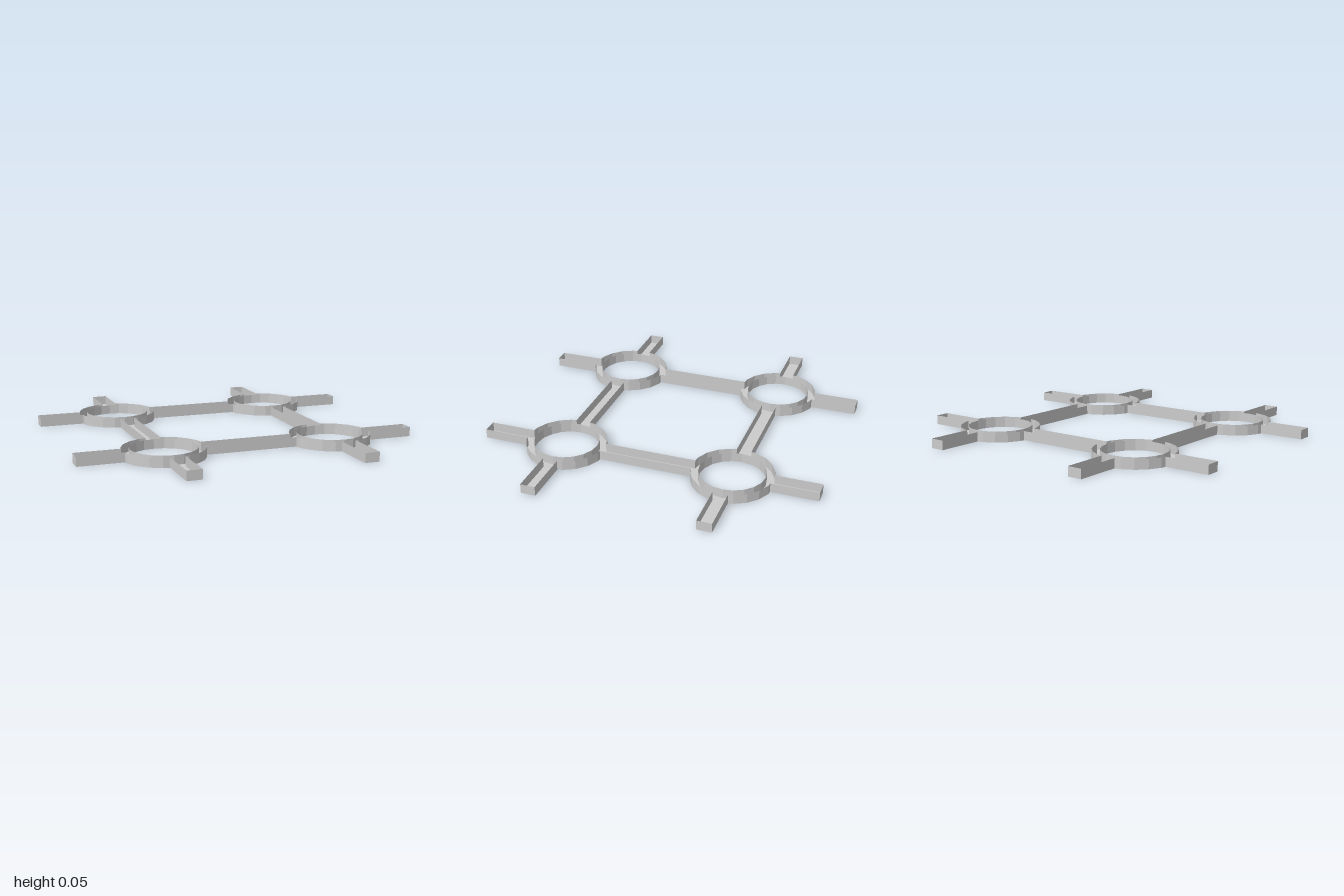
import * as THREE from 'three';

const H = 0.055;        // tray height
const HALF = 0.043;     // half width of an arm
const R_OUT = 0.235, R_IN = 0.19, SIDES = 20;
const DX = -0.006;      // rings sit slightly off the arm crossing
const STEP = (2 * Math.PI) / SIDES;

const ringPoint = (r, i) =>
  new THREE.Vector2(DX + r * Math.cos(i * STEP), r * Math.sin(i * STEP));

// Where an arm's side meets the ring: distance along the arm at a sideways offset
const SLOPE = (1 - Math.cos(STEP)) / Math.sin(STEP);
const reach = (offset) => R_OUT - SLOPE * Math.abs(offset);

// Outline of one ring with four arms, counter-clockwise
function crossOutline() {
  const v = (x, y) => new THREE.Vector2(x, y);
  const pts = [];
  for (let q = 0; q < 4; q++) {
    const [dx, dy] = [[1, 0], [0, 1], [-1, 0], [0, -1]][q];
    for (const [side, order] of [[-1, 0], [1, 1]]) {
      const sx = -dy * side * HALF, sy = dx * side * HALF;
      const along = dx ? reach(HALF) : reach(sx - DX);
      const joint = v(dx * along + (dx ? DX : 0) + sx, dy * along + sy);
      const tip = v(dx * 0.5 + sx, dy * 0.5 + sy);
      pts.push(...(order ? [tip, joint] : [joint, tip]));
    }
    for (let i = 1; i < SIDES / 4; i++) pts.push(ringPoint(R_OUT, q * SIDES / 4 + i));
  }
  return pts;
}

// Thin upright walls along a closed outline, leaving out the edges where skip is true
function wallGeometry(pts, skip = () => false) {
  const pos = [];
  pts.forEach((a, i) => {
    const b = pts[(i + 1) % pts.length];
    if (skip(a, b)) return;
    pos.push(a.x, 0, a.y, a.x, H, a.y, b.x, H, b.y);
    pos.push(a.x, 0, a.y, b.x, H, b.y, b.x, 0, b.y);
  });
  const geo = new THREE.BufferGeometry();
  geo.setAttribute('position', new THREE.Float32BufferAttribute(pos, 3));
  geo.computeVertexNormals();
  return geo;
}

export function createModel() {
  const model = new THREE.Group();
  model.name = 'openTrayLattice';
  const material = new THREE.MeshStandardMaterial({
    color: 0xcccccc, flatShading: true, side: THREE.DoubleSide,
  });

  const outline = crossOutline();
  const hole = Array.from({ length: SIDES }, (_, i) => ringPoint(R_IN, -i));
  const shape = new THREE.Shape(outline);
  shape.holes.push(new THREE.Path(hole));
  const floorGeo = new THREE.ShapeGeometry(shape).rotateX(Math.PI / 2);
  const innerGeo = wallGeometry(hole);

  for (const sx of [-1, 1]) for (const sz of [-1, 1]) {
    const unit = new THREE.Group();
    unit.name = `${sz > 0 ? 'front' : 'back'}${sx > 0 ? 'Left' : 'Right'}Crossing`;
    unit.position.set(sx * 0.5, 0, sz * 0.5);

    // Arms stay open where they run on into the neighbouring crossing
    const inward = (a, b) =>
      (a.x === -sx * 0.5 && b.x === a.x) || (a.y === -sz * 0.5 && b.y === a.y);

    const parts = { floor: floorGeo, outerWall: wallGeometry(outline, inward), ringInnerWall: innerGeo };
    for (const [name, geo] of Object.entries(parts)) {
      const mesh = new THREE.Mesh(geo, material);
      mesh.name = name;
      unit.add(mesh);
    }
    model.add(unit);
  }
  return model;
}
